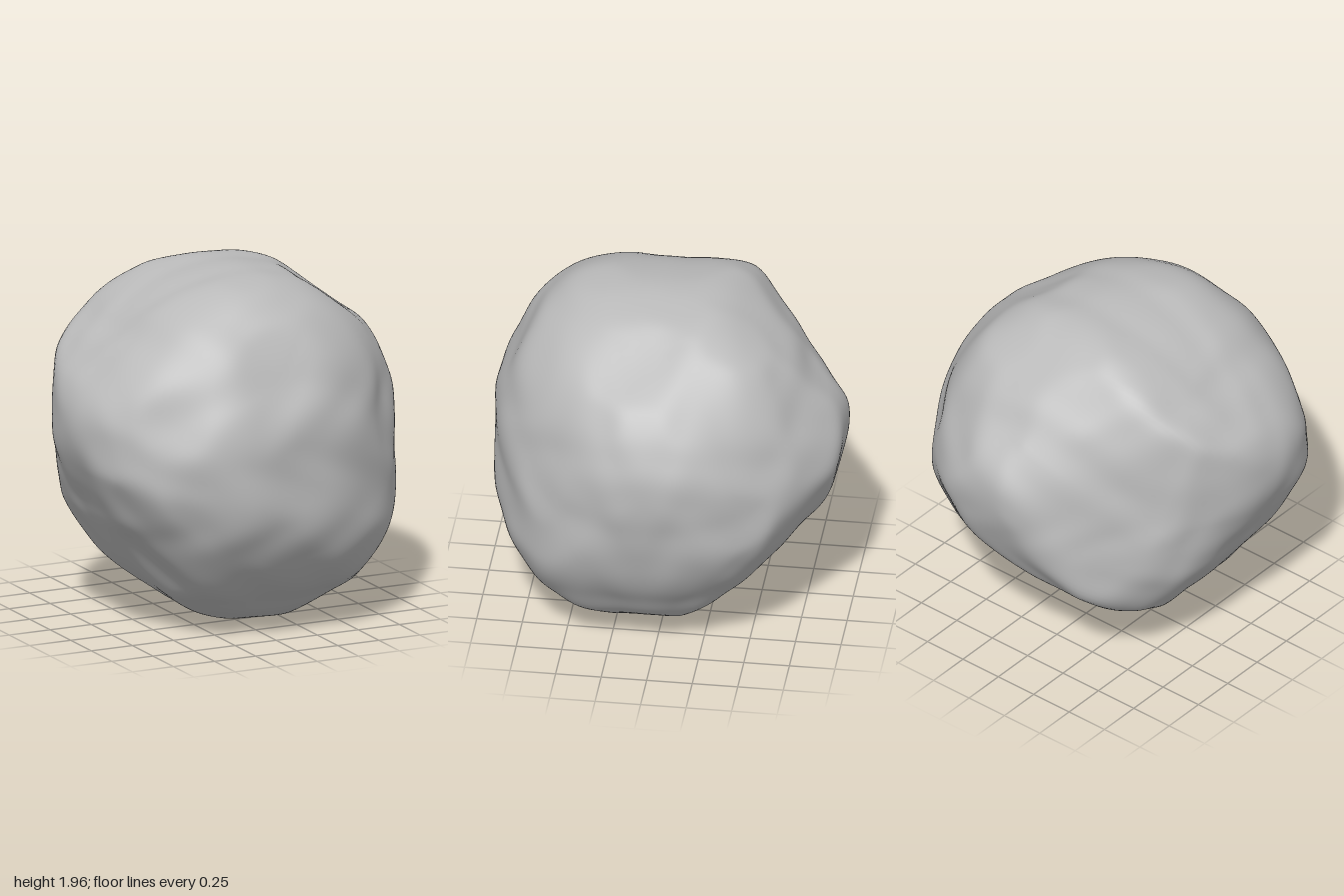
import * as THREE from 'three';
import { mergeVertices } from 'three/addons/utils/BufferGeometryUtils.js';

const CENTRE = 0.983; // height of the rock's middle
const S = Math.SQRT1_2, A = S / 2, B = Math.sqrt(3) / 2;

// Outlines the rock fills along six directions: across and up axes, then radii at even angles
const outlines = [
  { across: [1, 0, 0], up: [0, 1, 0], radii: [.968, 1.028, 1.018, 1.013, 1.006, .982, .976, .962, 1.022, 1.033,
    .94, .853, .835, .863, .915, .965, 1, 1, .967, .96] },
  { across: [0, 0, 1], up: [0, 1, 0], radii: [.983, .989, 1, 1.075, 1.02, .983, 1.006, .982, .965, 1.012,
    .95, .875, .853, .831, .815, .92, 1, .979, .981, .99] },
  { across: [1, 0, 0], up: [0, 0, 1], radii: [.988, .984, .985, .969, .965, .96, 1.017, 1.038, 1.043, 1.027,
    .965, .88, .85, .835, .907, .975, 1.028, 1.037, .985, .98] },
  { across: [S, 0, -S], up: [-A, B, -A], radii: [1.007, 1.01, 1.005, 1.018, 1.025, 1.021, .975, .967, 1.045, 1.072,
    1.055, 1.012, .987, .975, .988, 1.035, 1.03, .978, .967, .992] },
  { across: [-S, 0, S], up: [A, B, A], radii: [1.05, 1.028, 1.043, 1.058, 1.062, 1.033, .978, 1.005, 1.004, .989,
    .997, .927, .848, .803, .805, .85, .886, .896, .882, .96] },
  { across: [-S, 0, -S], up: [A, B, -A], radii: [.825, .833, .898, .95, 1, 1.03, 1.028, 1.024, 1.016, .97,
    .97, 1.034, 1.04, 1.008, .982, .95, .931, .892, .888, .877] },
];

// Fraction of a full turn, and a smooth radius at that fraction
const turn = (u, v) => (Math.atan2(v, u) / (Math.PI * 2) + 1) % 1;
function radiusAt(radii, fraction) {
  const t = fraction * radii.length, i = Math.floor(t), f = t - i;
  const [a, b, c, d] = [-1, 0, 1, 2].map(k => radii[(i + k + radii.length) % radii.length]);
  return b + f * (c - a + f * (2 * a - 5 * b + 4 * c - d + f * (3 * (b - c) + d - a))) / 2;
}

// Small weathered lumps
const lumps = d => .004 * (Math.sin(d.x * 13 + 2 * Math.sin(d.y * 9)) + Math.sin(d.y * 11 + 2 * Math.sin(d.z * 10 + 1)));

function rockGeometry() {
  let geometry = new THREE.IcosahedronGeometry(1, 36);
  geometry.deleteAttribute('normal');
  geometry.deleteAttribute('uv');
  geometry = mergeVertices(geometry, 1e-4);
  const position = geometry.attributes.position, index = geometry.index.array, count = position.count;
  const dirs = [];
  for (let i = 0; i < count; i++) dirs.push(new THREE.Vector3().fromBufferAttribute(position, i).normalize());

  // The furthest each direction may reach inside every outline
  const SECTORS = 72;
  const limits = outlines.map(({ across, up, radii }) => {
    const right = new THREE.Vector3(...across), top = new THREE.Vector3(...up);
    return dirs.map(d => {
      const u = d.dot(right), v = d.dot(top), fraction = turn(u, v);
      const reach = radiusAt(radii, fraction) / Math.max(Math.hypot(u, v), 1e-3);
      return { reach, sector: Math.floor(fraction * SECTORS) };
    });
  });
  const hull = dirs.map((d, i) => Math.min(...limits.map(l => l[i].reach)));
  let r = hull.slice();

  const smooth = steps => {
    for (let s = 0; s < steps; s++) {
      const sum = new Float64Array(count), n = new Float64Array(count);
      for (let t = 0; t < index.length; t += 3) {
        for (let k = 0; k < 3; k++) {
          const a = index[t + k], b = index[t + (k + 1) % 3];
          sum[a] += r[b];
          n[a]++;
        }
      }
      r = r.map((value, i) => (value + sum[i] / n[i]) / 2);
    }
  };

  // Wear the rock smooth, growing it back wherever it falls short of an outline
  for (let pass = 0; pass < 30; pass++) {
    smooth(12);
    const push = new Float64Array(count);
    for (const limit of limits) {
      const best = Array.from({ length: SECTORS }, () => ({ fill: 0, at: -1 }));
      limit.forEach(({ reach, sector }, i) => {
        if (r[i] / reach > best[sector].fill) best[sector] = { fill: r[i] / reach, at: i };
      });
      for (const { fill, at } of best) {
        if (at < 0 || fill >= 1) continue;
        for (let i = 0; i < count; i++) {
          const near = dirs[i].dot(dirs[at]);
          if (near > .85) push[i] = Math.max(push[i], (1 / fill - 1) * Math.exp(30 * (near - 1)));
        }
      }
    }
    r = r.map((value, i) => Math.min(value * (1 + push[i]), hull[i]));
  }
  smooth(4);

  // Place the surface and stand it on the ground
  dirs.forEach((d, i) => {
    const reach = r[i] * (1 + lumps(d));
    position.setXYZ(i, d.x * reach, d.y * reach + CENTRE, d.z * reach);
  });
  geometry.computeBoundingBox();
  geometry.translate(0, -geometry.boundingBox.min.y, 0);
  geometry.computeVertexNormals();
  return geometry;
}

export function createModel() {
  const group = new THREE.Group();
  group.name = 'boulder';
  const stone = new THREE.MeshStandardMaterial({ color: 0xbababa });
  stone.name = 'grey stone';
  const rock = new THREE.Mesh(rockGeometry(), stone);
  rock.name = 'rock';
  group.add(rock);
  return group;
}
